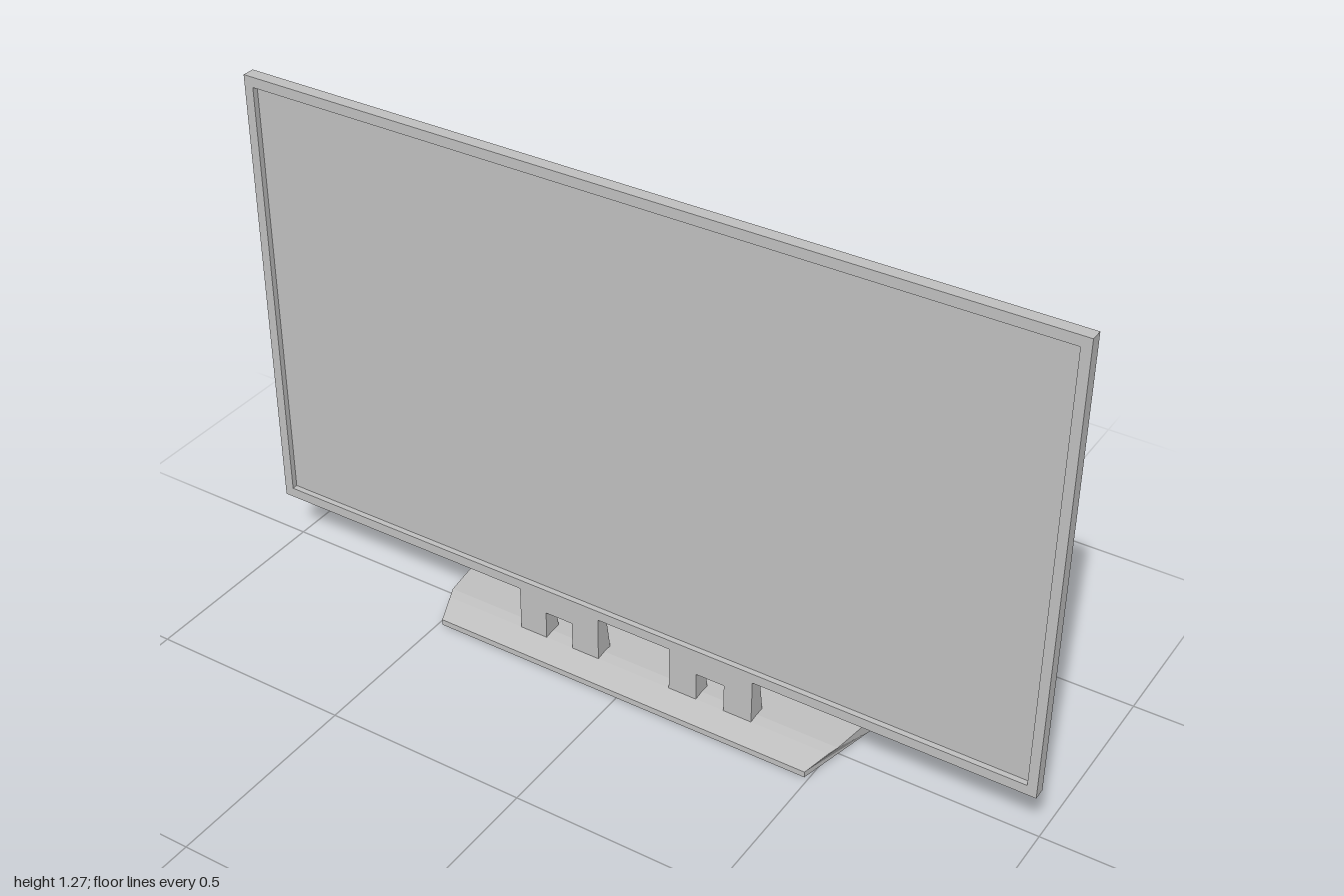
import * as THREE from 'three';

const grey = new THREE.MeshStandardMaterial({ color: 0xc0c0c0 });
grey.name = 'lightGrey';

function add(parent, name, geometry) {
  const mesh = new THREE.Mesh(geometry, grey);
  mesh.name = name;
  parent.add(mesh);
  return mesh;
}

// Points of a rounded rectangle, counter-clockwise, always the same count
function roundedRect(x0, x1, y0, y1, r, steps = 6) {
  const corners = [[x1 - r, y0 + r], [x1 - r, y1 - r], [x0 + r, y1 - r], [x0 + r, y0 + r]];
  const points = [];
  corners.forEach(([cx, cy], k) => {
    for (let i = 0; i <= steps; i++) {
      const a = (k - 1 + i / steps) * Math.PI / 2;
      points.push(new THREE.Vector2(cx + r * Math.cos(a), cy + r * Math.sin(a)));
    }
  });
  return points;
}

// Skin over rounded rectangles [halfWidth, y0, y1, radius, z], closed at the last, facing -z
function backShell(rings) {
  const pos = [], index = [];
  let n = 0;
  for (const [w, y0, y1, r, z] of rings) {
    const pts = roundedRect(-w, w, y0, y1, r);
    n = pts.length;
    pts.forEach(p => pos.push(p.x, p.y, z));
  }
  for (let k = 0; k < rings.length - 1; k++) {
    for (let i = 0; i < n; i++) {
      const a = k * n + i, b = k * n + (i + 1) % n;
      index.push(a, a + n, b, b, a + n, b + n);
    }
  }
  const last = (rings.length - 1) * n;
  for (let i = 1; i < n - 1; i++) index.push(last, last + i + 1, last + i);
  let g = new THREE.BufferGeometry();
  g.setAttribute('position', new THREE.Float32BufferAttribute(pos, 3));
  g.setIndex(index);
  g = g.toNonIndexed();
  g.computeVertexNormals();
  return g;
}

// Side profile of [z, y] points swept along x from x0 to x1
function sweepX(profile, x0, x1) {
  const shape = new THREE.Shape(profile.map(([z, y]) => new THREE.Vector2(-z, y)));
  const g = new THREE.ExtrudeGeometry(shape, { depth: x1 - x0, bevelEnabled: false });
  g.rotateY(Math.PI / 2);
  g.translate(x0, 0, 0);
  return g;
}

export function createModel() {
  const model = new THREE.Group();
  model.name = 'television';

  // Bezel with a sunken screen
  const outline = new THREE.Shape([[-1, 0.145], [1, 0.145], [1, 1.268], [-1, 1.268]]
    .map(p => new THREE.Vector2(...p)));
  outline.holes.push(new THREE.Path([[-0.977, 0.17], [-0.977, 1.243], [0.977, 1.243], [0.977, 0.17]]
    .map(p => new THREE.Vector2(...p))));
  const bezel = new THREE.ExtrudeGeometry(outline, { depth: 0.03, bevelEnabled: false });
  bezel.translate(0, 0, 0.016);
  add(model, 'bezel', bezel);
  add(model, 'screen', new THREE.BoxGeometry(1.954, 1.073, 0.014)).position.set(0, 0.7065, 0.025);

  // Back cover: chamfered rim, flat border, groove and raised middle
  add(model, 'backCover', backShell([
    [0.978, 0.166, 1.246, 0.001, 0.017],
    [0.925, 0.213, 1.2, 0.001, -0.011],
    [0.91, 0.226, 1.186, 0.001, -0.015],
    [0.872, 0.455, 1.128, 0.06, -0.015],
    [0.87, 0.457, 1.126, 0.058, 0.002],
    [0.8, 0.52, 1.06, 0.025, -0.014],
  ]));

  // Thin access covers under the raised middle
  for (const [name, x0, x1] of [['wideCover', -0.27, 0.895], ['narrowCover', -0.895, -0.315]]) {
    const g = new THREE.ExtrudeGeometry(new THREE.Shape(roundedRect(x0, x1, 0.245, 0.375, 0.022)),
      { depth: 0.004, bevelEnabled: false });
    g.translate(0, 0, -0.018);
    add(model, name, g);
  }

  // Two stand brackets, each of two tapered legs and a bridge
  const legProfile = [[0.045, 0.025], [0.045, 0.15], [0.015, 0.15], [-0.006, 0.025]];
  const bridgeProfile = [[0.045, 0.103], [0.045, 0.15], [0.015, 0.15], [0.007, 0.103]];
  for (const [name, x] of [['rightBracket', -0.198], ['leftBracket', 0.209]]) {
    const bracket = new THREE.Group();
    bracket.name = name;
    bracket.position.x = x;
    add(bracket, 'outerLeg', sweepX(legProfile, -0.108, -0.036));
    add(bracket, 'innerLeg', sweepX(legProfile, 0.036, 0.108));
    add(bracket, 'bridge', sweepX(bridgeProfile, -0.036, 0.036));
    model.add(bracket);
  }

  // Base plate: half width follows depth, front slopes down
  const base = sweepX([[0.108, 0], [0.108, 0.015], [0.045, 0.031], [0.02, 0.035],
    [-0.108, 0.035], [-0.108, 0]], -1, 1);
  const p = base.attributes.position;
  const widths = [[-0.108, 0.54], [0.02, 0.523], [0.045, 0.513], [0.108, 0.49]];
  for (let i = 0; i < p.count; i++) {
    const z = p.getZ(i);
    const match = widths.find(([wz]) => Math.abs(wz - z) < 0.002);
    p.setX(i, p.getX(i) * match[1]);
  }
  base.computeVertexNormals();
  add(model, 'basePlate', base);

  return model;
}
